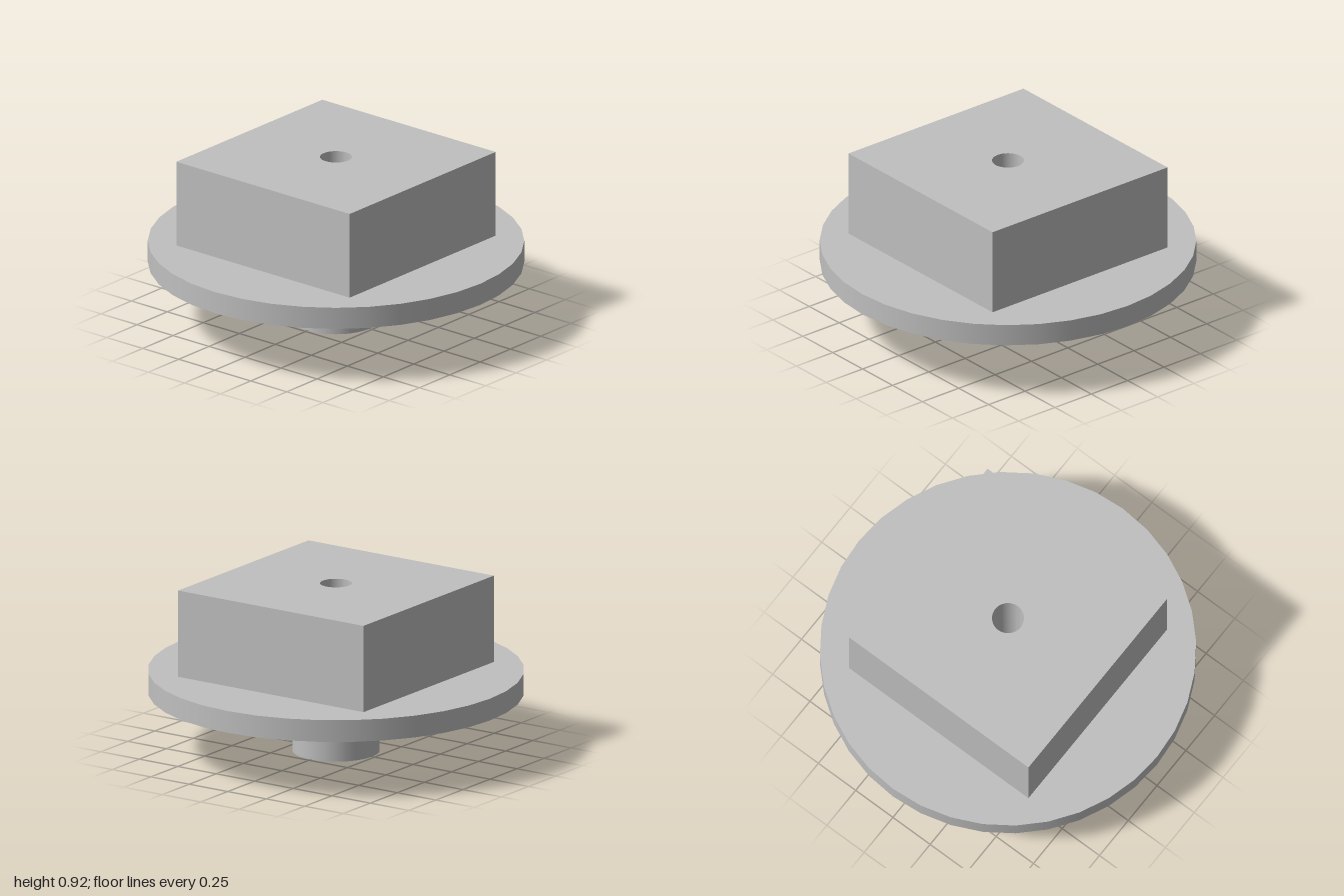
import * as THREE from 'three';
import { toCreasedNormals } from 'three/addons/utils/BufferGeometryUtils.js';

export function createModel() {
  const group = new THREE.Group();
  const grey = new THREE.MeshStandardMaterial({ color: 0xc0c0c0 });
  grey.name = 'light grey';

  const add = (name, geometry) => {
    const mesh = new THREE.Mesh(geometry, grey);
    mesh.name = name;
    group.add(mesh);
  };

  // Round parts, stacked from the ground up
  const disc = (name, radius, bottom, top) => {
    const geometry = new THREE.CylinderGeometry(radius, radius, top - bottom, 36);
    geometry.translate(0, (bottom + top) / 2, 0);
    add(name, geometry);
  };
  disc('shaft', 0.233, 0, 0.283);
  disc('collar', 0.319, 0.283, 0.324);
  disc('flange', 1, 0.324, 0.444);

  // Square block with a round bore down to the flange
  const half = 0.602;
  const square = new THREE.Shape([
    new THREE.Vector2(-half, -half),
    new THREE.Vector2(half, -half),
    new THREE.Vector2(half, half),
    new THREE.Vector2(-half, half),
  ]);
  square.holes.push(new THREE.Path().absarc(0, 0, 0.085, 0, Math.PI * 2, true));
  const block = new THREE.ExtrudeGeometry(square, { depth: 0.476, bevelEnabled: false, curveSegments: 36 });
  block.rotateX(-Math.PI / 2);
  block.translate(0, 0.444, 0);
  add('block', toCreasedNormals(block, 0.6));

  return group;
}
